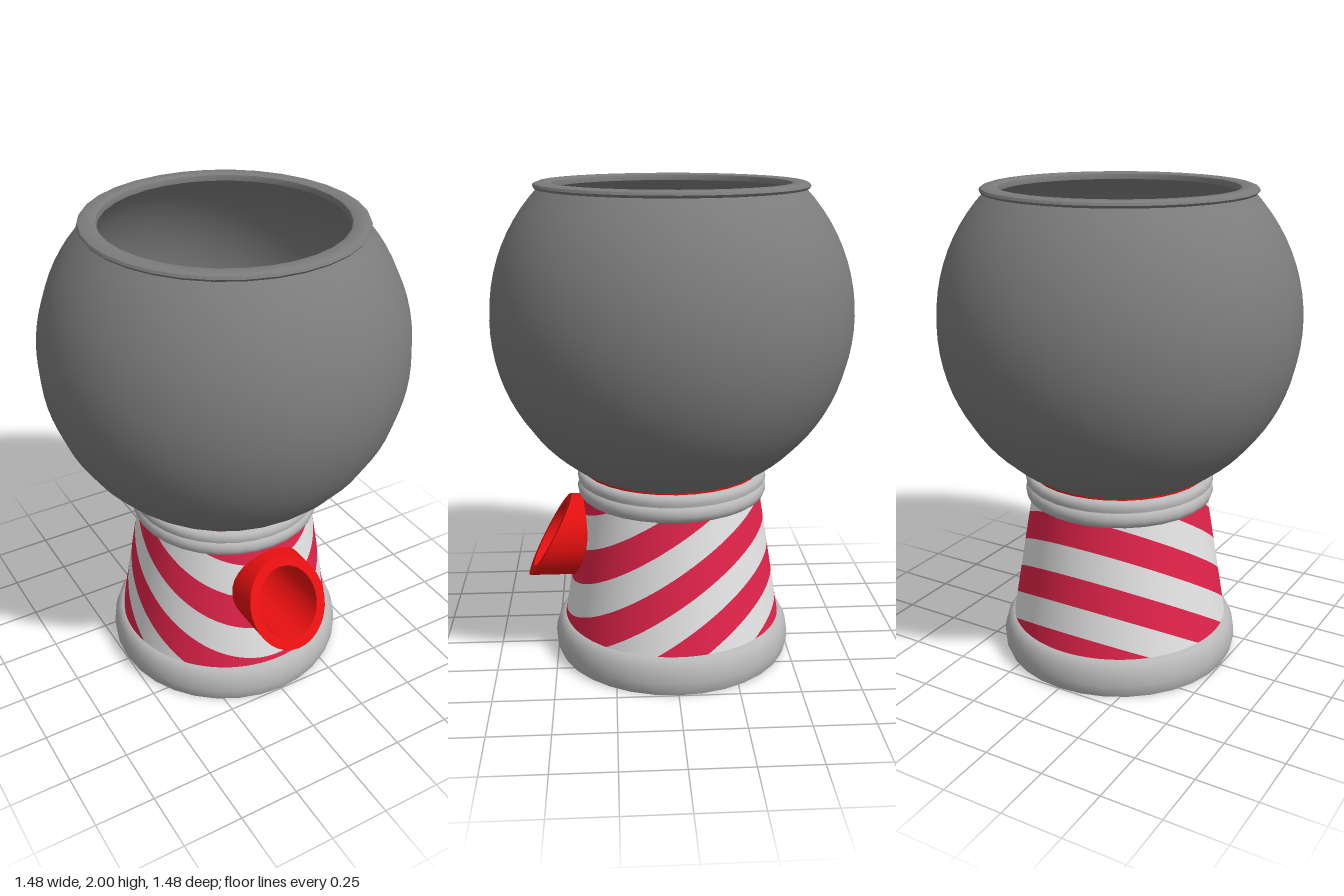
import * as THREE from 'three';
import { toCreasedNormals } from 'three/addons/utils/BufferGeometryUtils.js';

const SEG = 32;
const mat = (name, color) => new THREE.MeshStandardMaterial({ name, color });

function addMesh(group, name, geometry, material) {
  const mesh = new THREE.Mesh(geometry, material);
  mesh.name = name;
  group.add(mesh);
}

// Turned part from [radius, y] pairs
function turned(points, crease = 0.65) {
  const pts = points.map(([r, y]) => new THREE.Vector2(r, y));
  return toCreasedNormals(new THREE.LatheGeometry(pts, SEG), crease);
}

// Skin over rows of points, leaving out empty triangles
function loft(rows) {
  const pos = [];
  const tri = (a, b, c) => {
    const area = b.clone().sub(a).cross(c.clone().sub(a)).length();
    if (area > 1e-9) for (const p of [a, b, c]) pos.push(p.x, p.y, p.z);
  };
  for (let i = 0; i < rows.length - 1; i++) {
    for (let j = 0; j < rows[i].length - 1; j++) {
      const a = rows[i][j], b = rows[i][j + 1], c = rows[i + 1][j + 1], d = rows[i + 1][j];
      tri(a, b, d);
      tri(b, c, d);
    }
  }
  const geo = new THREE.BufferGeometry();
  geo.setAttribute('position', new THREE.Float32BufferAttribute(pos, 3));
  return geo;
}

// Arc of a globe profile centred at y = 1.46
function globeArc(radius, yFrom, yTo, steps) {
  const a0 = Math.asin((yFrom - 1.46) / radius), a1 = Math.asin((yTo - 1.46) / radius);
  return Array.from({ length: steps + 1 }, (_, i) => {
    const a = a0 + (a1 - a0) * i / steps;
    return [radius * Math.cos(a), 1.46 + radius * Math.sin(a)];
  });
}

// Tapered body and the round opening in its front
const Y0 = 0.15, Y1 = 0.705, TAPER = 0.165, R_AT_0 = 0.4905;
const HOLE_Y = 0.51, HOLE_R = 0.155;
const bodyRadius = y => R_AT_0 - TAPER * y;

// Stripe between two tilted planes y + slope * z = c, above or below the opening
function stripePart(c0, c1, above) {
  const N = 192, slope = 0.65;
  const row = c => Array.from({ length: N + 1 }, (_, j) => {
    const t = j / N * Math.PI * 2, s = Math.sin(t), k = Math.cos(t);
    const x = bodyRadius(HOLE_Y) * s;
    const h = k > 0 && Math.abs(x) < HOLE_R ? Math.sqrt(HOLE_R ** 2 - x * x) : 0;
    const lo = above ? HOLE_Y + h : Y0, hi = above ? Y1 : HOLE_Y - h;
    const y = (c - slope * R_AT_0 * k) / (1 - slope * TAPER * k);
    const yc = Math.min(hi, Math.max(lo, y)), r = bodyRadius(yc);
    return new THREE.Vector3(r * s, yc, r * k);
  });
  const geo = loft([row(c0), row(c1)]);
  // Smooth cone normals
  const p = geo.attributes.position, normals = [], n = new THREE.Vector3();
  for (let i = 0; i < p.count; i++) {
    const r = Math.hypot(p.getX(i), p.getZ(i));
    n.set(p.getX(i) / r, TAPER, p.getZ(i) / r).normalize();
    normals.push(n.x, n.y, n.z);
  }
  geo.setAttribute('normal', new THREE.Float32BufferAttribute(normals, 3));
  return geo;
}

// Ring of the chute; tilt turns it from facing down to facing forward, cut slants it
function chuteRing(tilt, y, z, r, cut = 0) {
  return Array.from({ length: SEG + 1 }, (_, j) => {
    const t = j / SEG * Math.PI * 2, u = r * Math.sin(t), v = r * Math.cos(t);
    return new THREE.Vector3(u, y + v * Math.sin(tilt), z + v * Math.cos(tilt) - cut * v);
  });
}

export function createModel() {
  const model = new THREE.Group();
  model.name = 'candyDispenser';
  const bowlGrey = mat('bowl grey', 0x7c7c7c);
  const trimGrey = mat('trim grey', 0xb9b9b9);
  const white = mat('stripe white', 0xe4e4e4);
  const crimson = mat('stripe crimson', 0xe2234a);
  const red = mat('chute red', 0xe81010);

  // Foot
  addMesh(model, 'base', turned([
    [0, 0], [0.497, 0], [0.507, 0.025], [0.51, 0.055], [0.507, 0.09],
    [0.498, 0.12], [0.485, 0.142], [0.468, 0.154], [0.43, 0.155],
  ]), trimGrey);

  // Striped body
  const body = new THREE.Group();
  body.name = 'stripedBody';
  const step = 0.134;
  for (let i = -4; i < 8; i++) {
    const c = 0.075 + i * step;
    for (const above of [false, true]) {
      const geo = stripePart(c, c + step, above);
      if (geo.attributes.position.count) {
        addMesh(body, i % 2 ? 'whiteStripe' : 'crimsonStripe', geo, i % 2 ? white : crimson);
      }
    }
  }
  model.add(body);

  // Grooved collar
  addMesh(model, 'collar', turned([
    [0.355, 0.7], [0.382, 0.7], [0.394, 0.71], [0.4, 0.727], [0.4, 0.742], [0.395, 0.757],
    [0.387, 0.764], [0.387, 0.769], [0.398, 0.772], [0.4, 0.785], [0.398, 0.8],
    [0.39, 0.81], [0.378, 0.815], [0.355, 0.815],
  ]), trimGrey);

  // Red seat under the bowl
  addMesh(model, 'bowlSeat', turned([[0.36, 0.812], [0.375, 0.812], [0.375, 0.826], [0.36, 0.826]]), red);

  // Funnel, bent tunnel and slanted spout in one skin
  const H = Math.PI / 2;
  const chute = loft([
    [0, 0.852, 0, 0.36], [0, 0.8, 0, 0.35], [0.1, 0.74, 0, 0.31], [0.35, 0.66, 0.02, 0.25],
    [0.8, 0.57, 0.08, 0.19], [1.25, 0.52, 0.18, 0.15], [H, HOLE_Y, 0.3, 0.135],
    [H, HOLE_Y, 0.525, 0.135, 0.55], [H, HOLE_Y, 0.525, 0.174, 0.55], [H, HOLE_Y, 0.34, 0.174],
  ].map(a => chuteRing(...a)));
  addMesh(model, 'chute', toCreasedNormals(chute, 0.8), red);

  // Globe bowl with wall thickness
  addMesh(model, 'bowl', turned([
    ...globeArc(0.74, 0.82, 1.98, 24), ...globeArc(0.71, 1.98, 0.85, 24), [0.371, 0.82],
  ]), bowlGrey);

  // Bowl rim
  addMesh(model, 'bowlRim', turned([
    [0.475, 1.972], [0.525, 1.972], [0.543, 1.975], [0.55, 1.984], [0.545, 1.994],
    [0.53, 2], [0.49, 2], [0.478, 1.995], [0.475, 1.985], [0.475, 1.972],
  ]), bowlGrey);

  return model;
}
